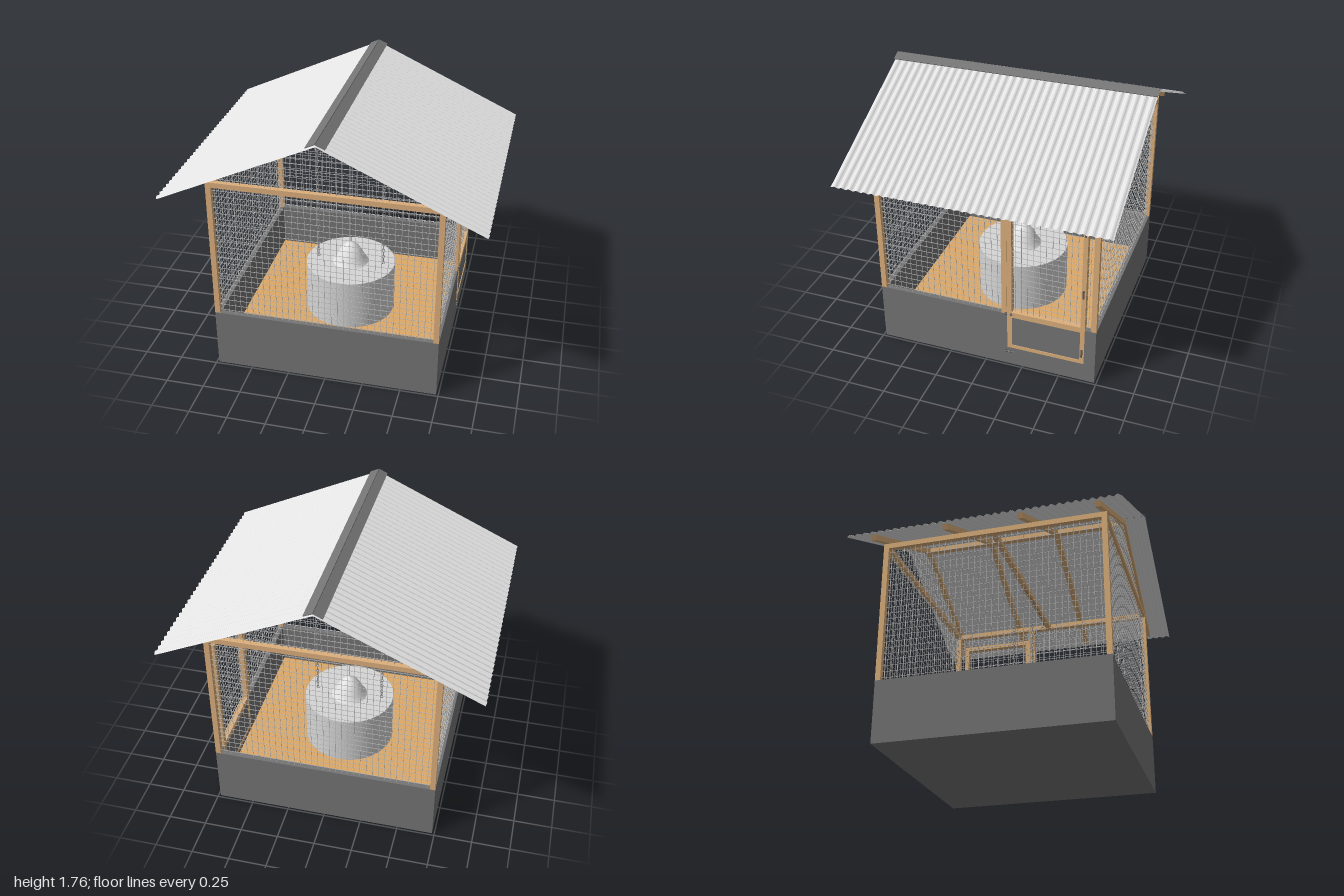
import * as THREE from 'three';
import { mergeGeometries } from 'three/addons/utils/BufferGeometryUtils.js';

const material = (name, color, side = THREE.FrontSide) => {
  const m = new THREE.MeshStandardMaterial({ color, side });
  m.name = name;
  return m;
};

// box geometry from min/max limits
const limits = (x0, x1, y0, y1, z0, z1) =>
  new THREE.BoxGeometry(x1 - x0, y1 - y0, z1 - z0).translate((x0 + x1) / 2, (y0 + y1) / 2, (z0 + z1) / 2);

export function createModel() {
  const root = new THREE.Group();
  root.name = 'roundFeederAviary';
  const concrete = material('darkGreyWall', 0x757575);
  const wood = material('timber', 0xddb07c);
  const sheetMetal = material('corrugatedMetal', 0xe2e2e2, THREE.DoubleSide);
  const tub = material('tubGrey', 0xd6d6d6);
  const wireGrey = material('galvanisedWire', 0xbcbcbc);
  const steel = material('chainSteel', 0x969696);
  const iron = material('darkIron', 0x5a5a5a);
  const litter = material('litter', 0xdda868);

  const add = (name, geometry, mat, parent = root) => {
    const mesh = new THREE.Mesh(geometry, mat);
    mesh.name = name;
    parent.add(mesh);
    return mesh;
  };

  const W = 0.735, T = 0.035, IN = W - T, H = 0.405, TOP = 1.33;

  // hollow base with floor
  add('baseFloor', limits(-W, W, 0, 0.1, -W, W), concrete);
  for (const s of [-1, 1]) {
    const [a, b] = s > 0 ? [IN, W] : [-W, -IN];
    add('endWall', limits(-W, W, 0.1, H, a, b), concrete);
    add('sideWall', limits(a, b, 0.1, H, -IN, IN), concrete);
    // corner posts, side plates and end tie beams
    for (const [c, d] of [[IN, W], [-W, -IN]]) add('cornerPost', limits(a, b, H, TOP, c, d), wood);
    add('sidePlate', limits(a, b, TOP, TOP + T, -IN, IN), wood);
    add('endTieBeam', limits(-W, W, TOP, TOP + T, a, b), wood);
  }
  add('middleTieBeam', limits(-IN, IN, TOP, TOP + T, -T / 2, T / 2), wood);
  add('floorLitter', limits(-IN, IN, 0.1, 0.106, -IN, IN), litter);
  add('ridgeBeam', limits(-0.02, 0.02, 1.705, 1.738, -W, W), wood);

  // roof slopes: corrugated sheet with crisp facets, rafters and ridge cap
  const slope = Math.atan(0.46), L = Math.hypot(1, 0.46), waves = 35, depth = 1.746;
  for (const s of [-1, 1]) {
    const side = new THREE.Group();
    side.name = s > 0 ? 'leftRoofSlope' : 'rightRoofSlope';
    side.position.y = 1.753;
    side.rotation.z = -s * slope;
    root.add(side);
    const sheet = new THREE.PlaneGeometry(L, depth, 1, waves * 6).rotateX(-Math.PI / 2).toNonIndexed();
    const p = sheet.attributes.position;
    for (let i = 0; i < p.count; i++) {
      p.setY(i, -0.0065 * Math.cos((p.getZ(i) / depth + 0.5) * waves * Math.PI * 2));
    }
    sheet.computeVertexNormals();
    add('corrugatedSheet', sheet.translate(s * L / 2, 0, 0), sheetMetal, side);
    for (const z of [-0.7175, -0.24, 0.24, 0.7175]) {
      add('rafter', new THREE.BoxGeometry(1.04, 0.036, T).translate(s * 0.523, -0.0245, z), wood, side);
    }
    add('ridgeCap', new THREE.BoxGeometry(0.064, 0.005, 1.75).translate(s * 0.029, 0.009, 0), concrete, side);
  }

  // wire netting: u runs along the wall, "top" gives the height at u
  const STEP = 0.04, R = 0.0013;
  const netting = (name, u0, u1, y0, top, place) => {
    const wires = [];
    for (let k = Math.ceil((u0 + 0.005) / STEP); k * STEP < u1 - 0.004; k++) {
      const u = k * STEP;
      if (top(u) > y0) wires.push(limits(u - R, u + R, y0, top(u), -R, R));
    }
    const peak = top((u0 + u1) / 2);
    for (let y = y0 + STEP / 2; y < peak - 0.01; y += STEP) {
      let a = u0, b = u1;
      while (top(a) < y && a < b) a += 0.01;
      while (top(b) < y && b > a) b -= 0.01;
      if (b > a) wires.push(limits(a, b, y - R, y + R, -R, R));
    }
    place(add(name, mergeGeometries(wires), wireGrey));
  };
  const flat = (h) => () => h;
  const gable = (x) => 1.715 - 0.46 * Math.abs(x);
  const onSide = (x) => (m) => { m.rotation.y = -Math.PI / 2; m.position.x = x; };
  for (const s of [-1, 1]) {
    const onEnd = (m) => { m.position.z = s * 0.7175; };
    netting('endNetting', -IN, IN, H, flat(TOP), onEnd);
    netting('gableNetting', -IN, IN, TOP + T, gable, onEnd);
  }
  netting('rightNetting', -IN, IN, H, flat(TOP), onSide(-0.7175));
  netting('leftNetting', -0.11, IN, H, flat(TOP), onSide(0.7175));
  netting('besideDoorNetting', -IN, -0.66, H, flat(TOP), onSide(0.7175));
  netting('aboveDoorNetting', -0.66, -0.145, 1.25, flat(TOP), onSide(0.7175));

  // door in the left wall
  const door = new THREE.Group();
  door.name = 'door';
  root.add(door);
  const D0 = 0.698, D1 = 0.739;
  add('doorPost', limits(IN, W, H, TOP, -0.145, -0.11), wood);
  for (const [z0, z1] of [[-0.18, -0.148], [-0.662, -0.633]]) {
    add('doorStile', limits(D0, D1, 0.138, 1.25, z0, z1), wood, door);
  }
  for (const [y0, y1] of [[0.138, 0.163], [0.385, 0.425], [1.22, 1.25]]) {
    add('doorRail', limits(D0, D1, y0, y1, -0.633, -0.18), wood, door);
  }
  netting('doorNetting', -0.633, -0.18, 0.425, flat(1.22), onSide(0.722));
  for (const y of [0.22, 0.68, 1.13]) {
    add('hinge', limits(0.735, 0.743, y - 0.03, y + 0.03, -0.652, -0.64), iron, door);
  }
  for (const y of [0.105, 0.408]) {
    for (const z of [-0.14, -0.175]) {
      add('boltKeeper', limits(0.733, 0.742, y - 0.009, y + 0.009, z - 0.007, z + 0.007), iron, door);
    }
    add('boltRod', new THREE.CylinderGeometry(0.003, 0.003, 0.06, 8).rotateX(Math.PI / 2)
      .translate(0.74, y, -0.16), steel, door);
  }

  // round tub with bell-shaped hood
  add('roundTub', new THREE.CylinderGeometry(0.308, 0.308, 0.355, 40).translate(0, 0.2825, 0), tub);
  const bell = [[0.125, 0.459], [0.112, 0.472], [0.095, 0.505], [0.078, 0.54], [0.055, 0.575], [0.028, 0.598], [0.01, 0.606], [0, 0.612]];
  add('bellHood', new THREE.LatheGeometry(bell.map(([x, y]) => new THREE.Vector2(x, y)), 32), sheetMetal);

  // hooks, chains and hanging wire
  for (const x of [-0.23, 0, 0.23]) {
    add('hook', new THREE.TorusGeometry(0.018, 0.0035, 6, 14, Math.PI * 1.5)
      .rotateZ(Math.PI / 2).translate(x, 1.296, 0), steel);
    add('hookShank', new THREE.CylinderGeometry(0.0035, 0.0035, 0.022, 8).translate(x, 1.322, 0), steel);
  }
  for (const x of [-0.23, 0.23]) {
    const links = [];
    for (let i = 0; i < 34; i++) {
      links.push(new THREE.TorusGeometry(0.008, 0.0026, 5, 10).scale(1, 1.7, 1)
        .rotateY((i % 2) * Math.PI / 2).translate(x, 0.472 + i * 0.0244, 0));
    }
    add('chain', mergeGeometries(links), steel);
  }
  add('hangingWire', new THREE.CylinderGeometry(0.0025, 0.0025, 0.68, 8).translate(0, 0.945, 0), steel);

  // cable along the beam and down the door post
  const path = [[0.02, 1.327, 0], [0.4, 1.327, 0], [0.64, 1.325, -0.03], [0.69, 1.28, -0.12], [0.695, 1.1, -0.127], [0.69, 0.74, -0.127]];
  const curve = new THREE.CatmullRomCurve3(path.map((q) => new THREE.Vector3(...q)));
  add('cable', new THREE.TubeGeometry(curve, 40, 0.002, 6), iron);
  add('cablePlug', limits(0.676, 0.7, 0.715, 0.755, -0.138, -0.115), iron);

  return root;
}
